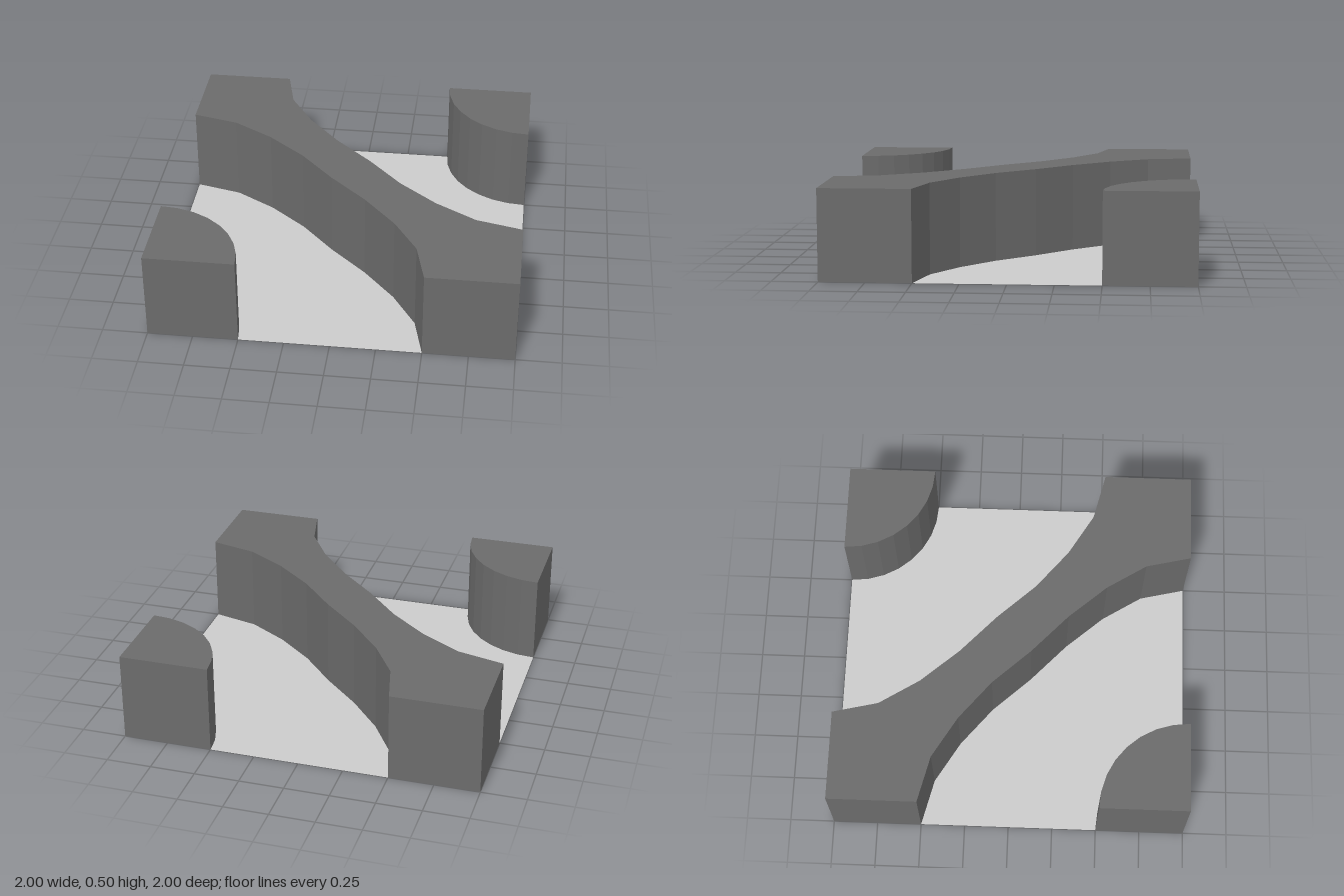
import * as THREE from 'three';

const HEIGHT = 0.5;
const ARC_STEPS = 8;

const floorMaterial = new THREE.MeshStandardMaterial({ color: 0xcccccc, side: THREE.DoubleSide });
const wallMaterial = new THREE.MeshStandardMaterial({ color: 0x6b6b6b, side: THREE.DoubleSide, flatShading: true });

// Plan outlines are [x, z] pairs; turn() gives the half-turn copy
const turn = (points) => points.map(([x, z]) => [-x, -z]);
const planShape = (points) => new THREE.Shape(points.map(([x, z]) => new THREE.Vector2(x, -z)));

// Upright block standing on the plan outline, hollow with an open underside
function openBlock(points) {
  const solid = new THREE.ExtrudeGeometry(planShape(points), { depth: HEIGHT, bevelEnabled: false });
  solid.rotateX(-Math.PI / 2);
  const p = solid.attributes.position;
  const kept = [];
  for (let i = 0; i < p.count; i += 3) {
    if (Math.max(p.getY(i), p.getY(i + 1), p.getY(i + 2)) < 0.01) continue;
    for (let k = i; k < i + 3; k++) kept.push(p.getX(k), p.getY(k), p.getZ(k));
  }
  const geometry = new THREE.BufferGeometry();
  geometry.setAttribute('position', new THREE.Float32BufferAttribute(kept, 3));
  geometry.computeVertexNormals();
  return geometry;
}

export function createModel() {
  const group = new THREE.Group();
  const add = (name, geometry, material) => {
    const mesh = new THREE.Mesh(geometry, material);
    mesh.name = name;
    group.add(mesh);
  };

  // Quarter circle around the back corner (1, -1), from the back edge to the side edge
  const arc = [];
  for (let i = 0; i <= ARC_STEPS; i++) {
    const a = (i / ARC_STEPS) * Math.PI / 2;
    arc.push([1 - 0.5 * Math.cos(a), -1 + 0.5 * Math.sin(a)]);
  }

  // Floor sheet, cut away under the round pillars and the square wall ends
  const half = [[-0.5, -0.5], [-0.5, -1], ...arc, [1, 0.5], [0.5, 0.5]];
  const floorOutline = [
    ...half,
    [0.5, 1], ...turn(arc), [-1, -0.5],
  ];
  const floor = new THREE.ShapeGeometry(planShape(floorOutline));
  floor.rotateX(-Math.PI / 2);
  add('floor', floor, floorMaterial);

  // Quarter-round pillars in two opposite corners
  const pillar = [...arc, [1, -1]];
  add('backCornerPillar', openBlock(pillar), wallMaterial);
  add('frontCornerPillar', openBlock(turn(pillar)), wallMaterial);

  // Diagonal wall that narrows in the middle and flares to both other corners
  const side = [
    [-1, -1], [-0.5, -1], [-0.44, -0.745], [-0.3, -0.52], [-0.115, -0.305],
    [0.1, -0.1], [0.295, 0.115], [0.51, 0.295], [0.74, 0.435], [1, 0.5],
  ];
  add('diagonalWall', openBlock([...side, ...turn(side)]), wallMaterial);

  return group;
}
